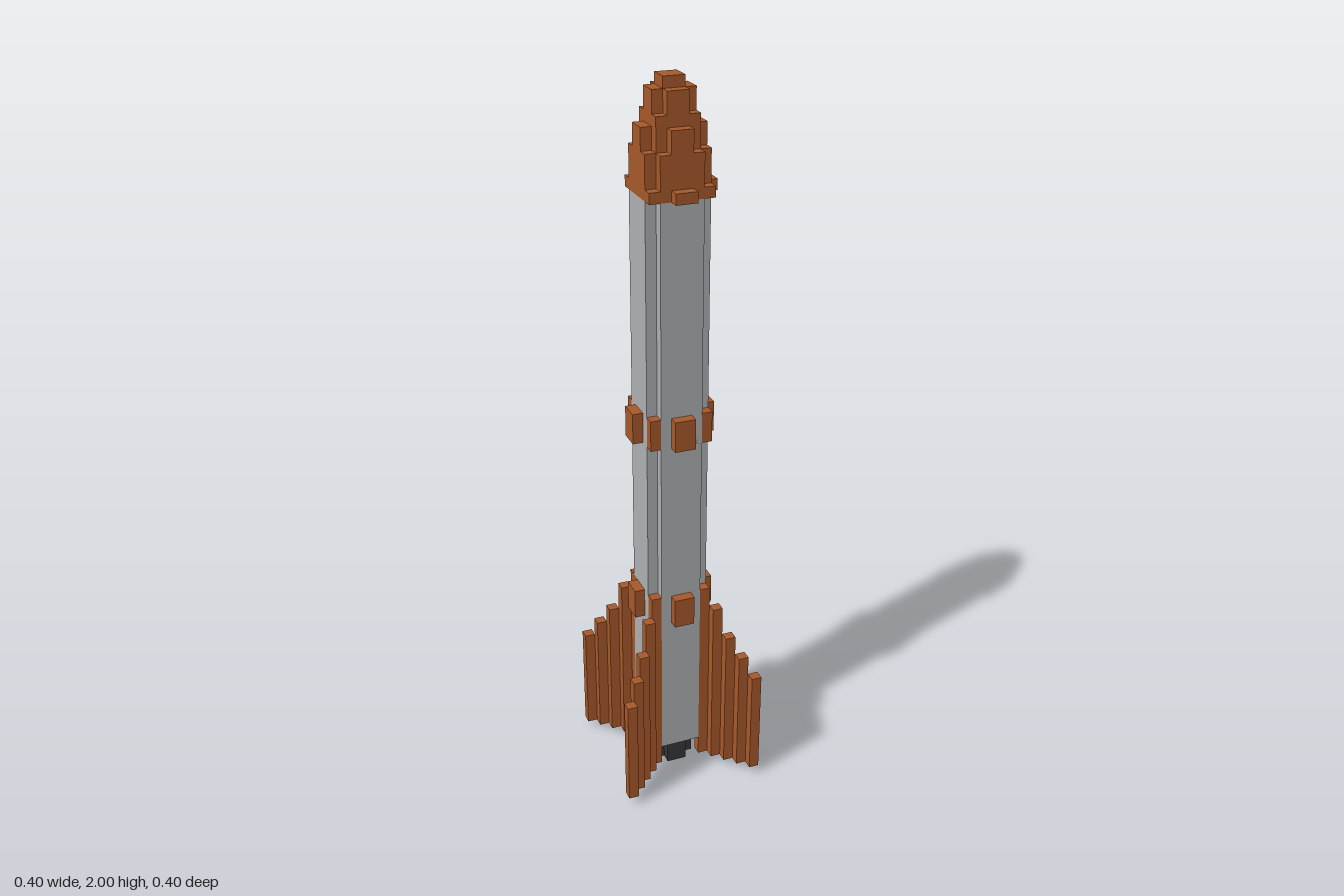
import * as THREE from 'three';

const U = 2 / 70; // edge of one block

const rust = new THREE.MeshStandardMaterial({ name: 'rustOrange', color: 0xaa5a2b });
const grey = new THREE.MeshStandardMaterial({ name: 'hullGrey', color: 0xb0b2b5 });
const dark = new THREE.MeshStandardMaterial({ name: 'nozzleDark', color: 0x38383d });

// Upright prism with a stepped, four-way symmetric outline.
// rows[i] is the half width, in blocks, of the row lying i..i+1 blocks from the centre.
function steppedPrism(name, rows, y0, y1, material) {
  const right = [];
  rows.forEach((w, i) => {
    if (i > 0 && rows[i - 1] === w) right.pop();
    else right.push([w, i]);
    right.push([w, i + 1]);
  });
  if (right[0][1] === 0) right.shift(); // no corner on the centre line
  const lower = right.map(([x, y]) => [x, -y]).reverse();
  const half = [...lower, ...right];
  const outline = [...half, ...half.map(([x, y]) => [-x, -y])];
  const shape = new THREE.Shape(outline.map(([x, y]) => new THREE.Vector2(x * U, y * U)));
  const geometry = new THREE.ExtrudeGeometry(shape, { depth: (y1 - y0) * U, bevelEnabled: false });
  geometry.rotateX(-Math.PI / 2);
  const mesh = new THREE.Mesh(geometry, material);
  mesh.name = name;
  mesh.position.y = y0 * U;
  return mesh;
}

// Box given by its centre and size in blocks
function block(name, x, z, w, d, y0, y1, material) {
  const mesh = new THREE.Mesh(new THREE.BoxGeometry(w * U, (y1 - y0) * U, d * U), material);
  mesh.name = name;
  mesh.position.set(x * U, ((y0 + y1) / 2) * U, z * U);
  return mesh;
}

export function createModel() {
  const rocket = new THREE.Group();
  rocket.name = 'rocket';

  // Engine, hull and the two bands around it
  rocket.add(
    steppedPrism('nozzle', [2, 1], 0, 3, dark),
    steppedPrism('hull', [3, 3, 2], 3, 60, grey),
    steppedPrism('lowerBand', [4, 3, 3, 1], 18, 21, rust),
    steppedPrism('middleBand', [4, 3, 3, 1], 37, 40, rust)
  );

  // Nose cone in shrinking layers, with two lugs on its collar
  const nose = new THREE.Group();
  nose.name = 'noseCone';
  const layers = [
    [[3, 3, 3], 60, 61],
    [[3, 3, 2], 61, 64],
    [[3, 2, 1], 64, 66],
    [[2, 2], 66, 67],
    [[2, 1], 67, 69],
    [[1], 69, 70],
  ];
  for (const [rows, y0, y1] of layers) nose.add(steppedPrism('noseLayer', rows, y0, y1, rust));
  nose.add(block('leftLug', 3.5, 0, 1, 2, 60, 61, rust));
  nose.add(block('frontLug', 0, 3.5, 2, 1, 60, 61, rust));
  rocket.add(nose);

  // Four diagonal fins, each a row of columns falling outwards
  const finTops = [18, 19, 16, 14, 12];
  for (const sx of [-1, 1]) {
    for (const sz of [-1, 1]) {
      const fin = new THREE.Group();
      fin.name = (sz > 0 ? 'front' : 'back') + (sx > 0 ? 'Left' : 'Right') + 'Fin';
      finTops.forEach((top, i) => {
        fin.add(block('finColumn', sx * (2.5 + i), sz * (2.5 + i), 1, 1, 1, top, rust));
      });
      rocket.add(fin);
    }
  }
  return rocket;
}
